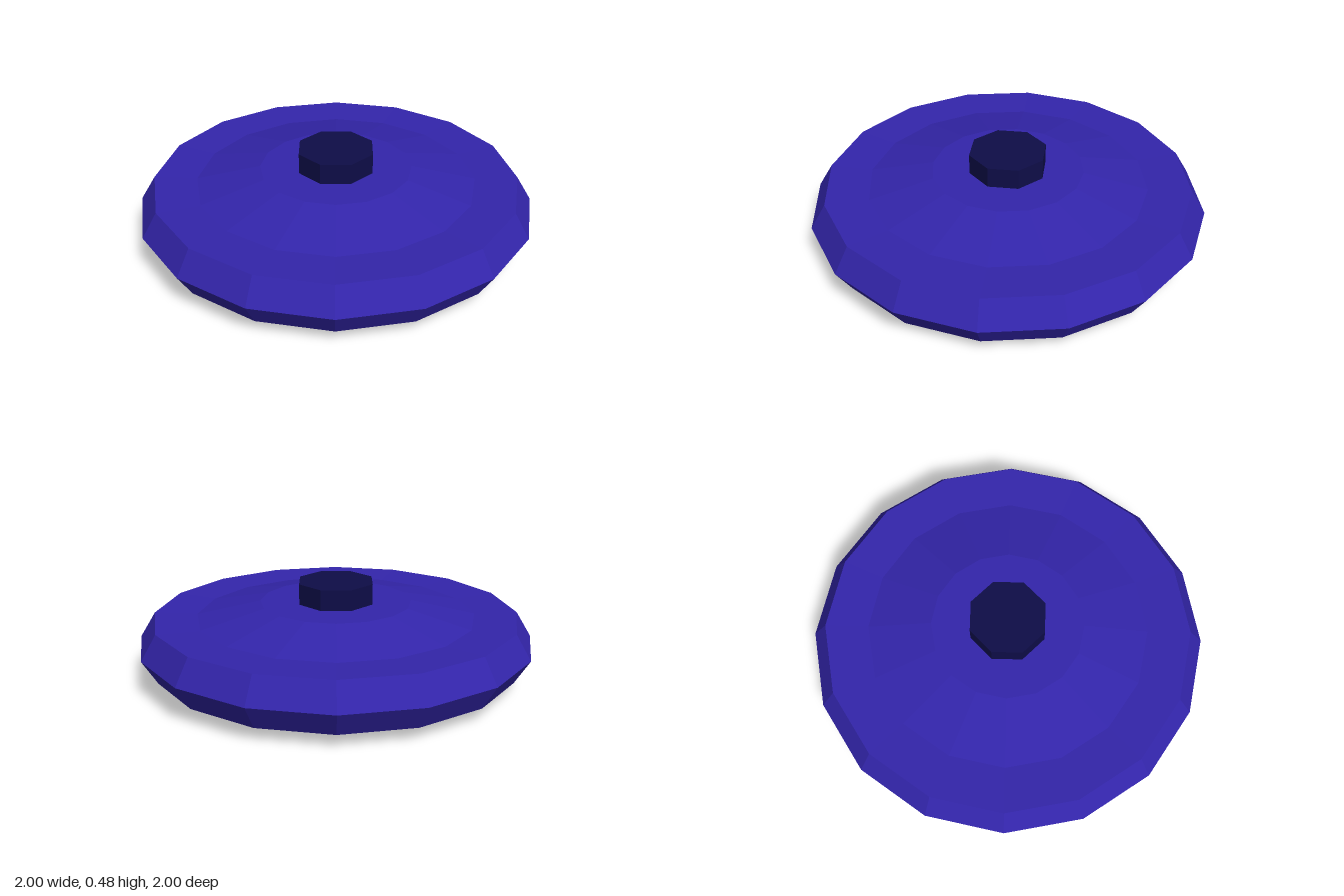
import * as THREE from 'three';

export function createModel() {
  const group = new THREE.Group();
  group.name = 'knobbedDisc';

  const bodyBlue = new THREE.MeshStandardMaterial({ color: 0x3325ab, flatShading: true });
  bodyBlue.name = 'bodyBlue';
  const knobNavy = new THREE.MeshStandardMaterial({ color: 0x0e0d48, flatShading: true });
  knobNavy.name = 'knobNavy';

  // Sixteen-sided disc: flat base, bevelled rim, shallow raised centre
  const profile = [
    [0, 0], [0.383, 0.003], [0.707, 0.04], [0.924, 0.065], [1, 0.188],
    [0.924, 0.313], [0.707, 0.305], [0.383, 0.377], [0, 0.377],
  ].map(([r, y]) => new THREE.Vector2(r, y));
  const disc = new THREE.Mesh(new THREE.LatheGeometry(profile, 16), bodyBlue);
  disc.name = 'disc';
  group.add(disc);

  // Eight-sided knob, sunk slightly into the centre
  const knob = new THREE.Mesh(new THREE.CylinderGeometry(0.198, 0.198, 0.132, 8), knobNavy);
  knob.name = 'knob';
  knob.position.y = 0.416;
  group.add(knob);

  return group;
}
